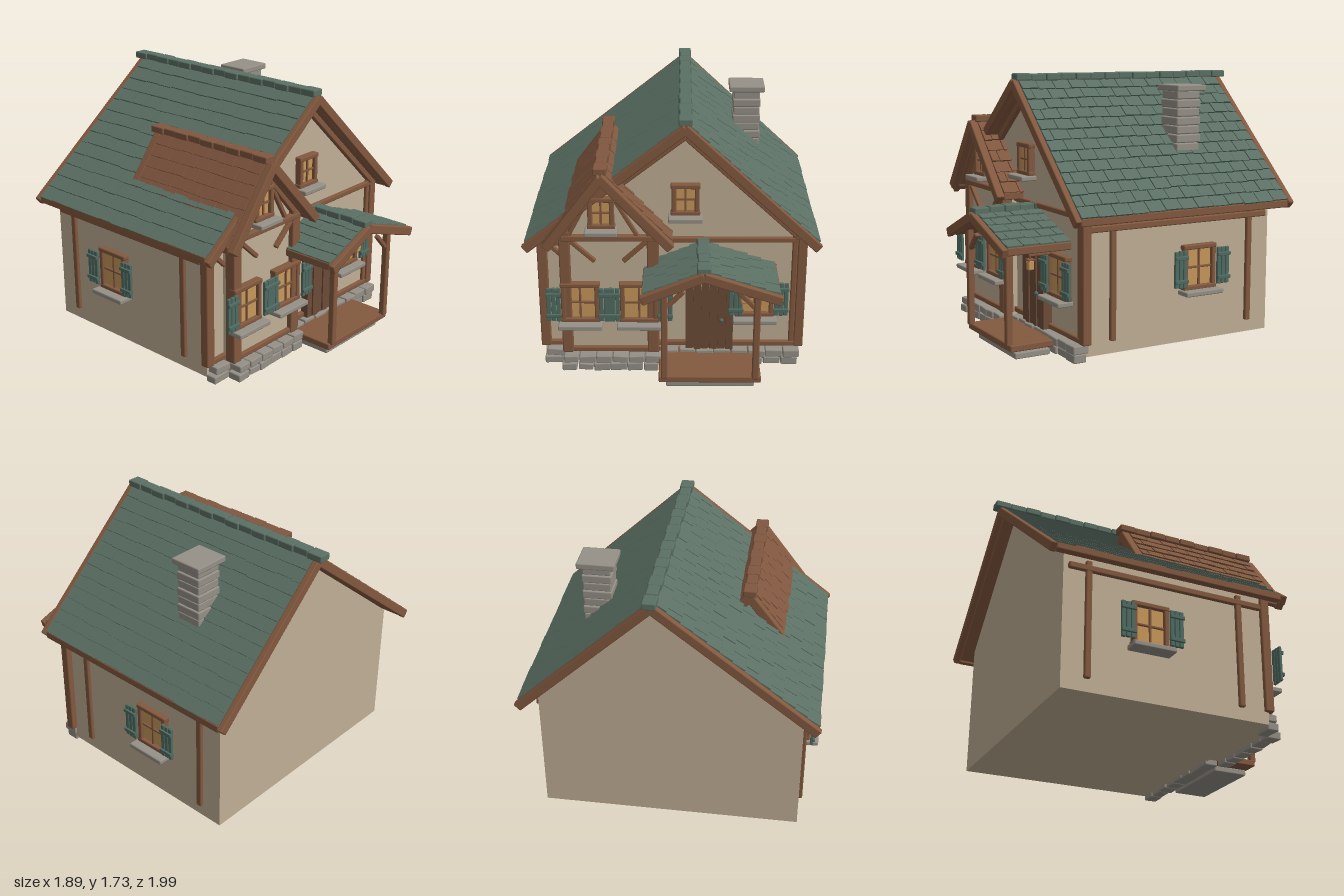
import * as THREE from 'three';
import { mergeGeometries } from 'three/addons/utils/BufferGeometryUtils.js';
import { RoundedBoxGeometry } from 'three/addons/geometries/RoundedBoxGeometry.js';

const mat = (name, color) => Object.assign(new THREE.MeshStandardMaterial({ color }), { name });
const M = {
  wall: mat('plaster', 0xc0af95), wood: mat('timber', 0x83593f), tile: mat('green roof tile', 0x5b7064),
  brownTile: mat('brown roof tile', 0x80573f), stone: mat('stone', 0x959087), glass: mat('lit glass', 0xc8985a),
  door: mat('dark door wood', 0x6d4c38), shutter: mat('shutter green', 0x506c62),
};

let seed = 7;
const rand = (a) => { seed = (seed * 16807) % 2147483647; return (seed / 2147483647 - 0.5) * 2 * a; };

// Softly bevelled box centred at x, y, z
function box(w, h, d, x = 0, y = 0, z = 0, rz = 0) {
  const r = Math.min(0.008, 0.25 * Math.min(w, h, d));
  return new RoundedBoxGeometry(w, h, d, 1, r).rotateZ(rz).translate(x, y, z);
}
// Box given by its limits
const span = (x0, x1, y0, y1, z0, z1) =>
  box(x1 - x0, y1 - y0, z1 - z0, (x0 + x1) / 2, (y0 + y1) / 2, (z0 + z1) / 2);
// Timber running between two points in a plane of constant z
const beam = (x0, y0, x1, y1, z, t, d) =>
  box(Math.hypot(x1 - x0, y1 - y0), t, d, (x0 + x1) / 2, (y0 + y1) / 2, z, Math.atan2(y1 - y0, x1 - x0));

function add(parent, name, material, geos) {
  const m = new THREE.Mesh(mergeGeometries(geos.map((g) => (g.index ? g.toNonIndexed() : g))), material);
  m.name = name;
  parent.add(m);
  return m;
}

function prism(points, z0, z1) {
  const s = new THREE.Shape(points.map((p) => new THREE.Vector2(...p)));
  return new THREE.ExtrudeGeometry(s, { depth: z1 - z0, bevelEnabled: false }).translate(0, 0, z0);
}

// Gabled roof: boarded slopes, overlapping tiles, bargeboards, eave boards and ridge caps
function roof(parent, name, ridge, eaves, z0, z1, material, rows, barge, fasciaY, caps) {
  const g = new THREE.Group();
  g.name = name;
  const tiles = [], boards = [], ridgeCaps = [];
  for (const [ex, ey] of eaves) {
    const dx = ex - ridge[0], dy = ey - ridge[1], len = Math.hypot(dx, dy), side = Math.sign(dx);
    const u = new THREE.Vector3(dx / len, dy / len, 0);
    const n = new THREE.Vector3(-u.y * side, u.x * side, 0);
    const basis = new THREE.Matrix4().makeBasis(u, n, new THREE.Vector3(0, 0, side)).setPosition(ridge[0], ridge[1], 0);
    const place = (geo, t, h, z, tilt = 0) => geo.rotateZ(tilt).translate(t, h, z * side).applyMatrix4(basis);
    boards.push(place(box(len, 0.04, z1 - z0), len / 2, -0.02, (z0 + z1) / 2));
    for (const z of [z0 - barge / 2, z1 + barge / 2])
      boards.push(place(box(len + 0.03, 0.06, barge), len / 2 + 0.015, -0.01, z));
    boards.push(span(ex - 0.02, ex + 0.02, fasciaY, fasciaY + 0.05, z0, z1));
    const step = len / rows, cols = Math.round((z1 - z0) / 0.118), cw = (z1 - z0) / cols;
    for (let r = 0; r < rows; r++) {
      for (let c = 0; c <= cols; c++) {
        const a = Math.max(z0, z0 + (c - (r % 2) * 0.5) * cw), b = Math.min(z1, z0 + (c + 1 - (r % 2) * 0.5) * cw);
        if (b - a < 0.01) continue;
        const tile = new THREE.BoxGeometry(step * 1.3, 0.016, b - a - 0.005);
        tiles.push(place(tile, (r + 0.42) * step + rand(0.004), 0.013 + rand(0.002), (a + b) / 2, 0.1));
      }
    }
  }
  const c0 = z0 - 0.07, c1 = z1 + 0.02, cs = (c1 - c0) / caps;
  for (let i = 0; i < caps; i++)
    ridgeCaps.push(box(i % 2 ? 0.072 : 0.085, 0.045, cs * 0.98, ridge[0], ridge[1] + 0.025 + rand(0.003), c0 + (i + 0.5) * cs));
  add(g, name + 'Boards', M.wood, boards);
  add(g, name + 'Tiles', material, tiles);
  add(g, name + 'RidgeCaps', material, ridgeCaps);
  parent.add(g);
}

// Window facing +z, centred on its frame, with a stone sill and shutters at the given offsets
function windowUnit(parent, name, x, y, z, w, h, shutters = [], ry = 0) {
  const g = new THREE.Group();
  g.name = name;
  const t = 0.03, wood = [];
  for (const s of [-1, 1]) {
    wood.push(box(t, h, 0.05, s * (w - t) / 2, 0, 0.015));
    wood.push(box(w + 0.01, t, 0.054, 0, s * (h - t) / 2, 0.015));
  }
  wood.push(box(0.014, h - t, 0.024, 0, 0, 0.015), box(w - t, 0.014, 0.024, 0, 0, 0.015));
  add(g, 'windowFrame', M.wood, wood);
  add(g, 'windowGlass', M.glass, [new THREE.BoxGeometry(w - t, h - t, 0.008).translate(0, 0, 0.012)]);
  add(g, 'windowSill', M.stone, [box(w + 0.04, 0.032, 0.11, 0, -h / 2 - 0.012, 0.045)]);
  const planks = [];
  for (const sx of shutters) {
    for (const i of [-1, 0, 1]) planks.push(box(0.028, 0.235 + rand(0.005), 0.02, sx + i * 0.031, 0, 0.055));
    for (const s of [-1, 1]) planks.push(box(0.098, 0.024, 0.016, sx, s * 0.075, 0.069));
  }
  if (planks.length) add(g, 'shutters', M.shutter, planks);
  g.position.set(x, y, z);
  g.rotation.y = ry;
  parent.add(g);
}

export function createModel() {
  const house = new THREE.Group();
  house.name = 'cottage';

  // Plaster volumes
  add(house, 'mainWalls', M.wall, [prism([[-0.84, 0.05], [0.82, 0.05], [0.82, 0.935], [0.08, 1.635], [-0.84, 0.9]], -0.85, 0.52)]);
  add(house, 'frontBayWalls', M.wall, [prism([[-0.69, 0.05], [-0.11, 0.05], [-0.11, 0.97], [-0.44, 1.34], [-0.69, 1.0]], -0.25, 0.6)]);

  // Roofs
  roof(house, 'mainRoof', [0.08, 1.685], [[-0.915, 0.9], [0.91, 0.91]], -0.93, 0.6, M.tile, 13, 0.04, 0.87, 15);
  roof(house, 'bayRoof', [-0.44, 1.395], [[-0.78, 0.945], [-0.02, 0.945]], -0.24, 0.66, M.brownTile, 7, 0.055, 0.91, 9);
  roof(house, 'porchRoof', [0.195, 0.87], [[-0.165, 0.72], [0.645, 0.72]], 0.52, 0.95, M.tile, 5, 0.04, 0.685, 5);

  // Timber framing on the front
  add(house, 'frontTimbers', M.wood, [
    span(-0.865, -0.8, 0.13, 0.9, 0.49, 0.55), span(0.8, 0.86, 0.13, 0.93, 0.49, 0.55),
    span(0.765, 0.8, 0.13, 0.93, 0.5, 0.54),
    span(-0.84, 0.82, 0.13, 0.165, 0.5, 0.545), span(-0.1, 0.82, 0.885, 0.92, 0.5, 0.545),
    span(-0.84, -0.69, 0.86, 0.895, 0.5, 0.545), beam(-0.79, 0.87, -0.69, 0.77, 0.53, 0.03, 0.03),
    beam(0.08, 1.6, 0.81, 0.92, 0.535, 0.04, 0.04), beam(0.08, 1.6, -0.83, 0.89, 0.535, 0.04, 0.04),
  ]);
  add(house, 'bayTimbers', M.wood, [
    span(-0.715, -0.645, 0.13, 1.0, 0.56, 0.635), span(-0.16, -0.085, 0.13, 0.99, 0.56, 0.635),
    span(-0.7, -0.1, 0.13, 0.165, 0.58, 0.625), span(-0.7, -0.1, 0.935, 0.972, 0.58, 0.64),
    beam(-0.64, 0.93, -0.49, 0.79, 0.615, 0.03, 0.03), beam(-0.16, 0.93, -0.31, 0.79, 0.615, 0.03, 0.03),
    beam(-0.44, 1.33, -0.68, 1.0, 0.615, 0.04, 0.04), beam(-0.44, 1.33, -0.13, 0.98, 0.615, 0.04, 0.04),
    beam(-0.53, 1.2, -0.65, 0.97, 0.615, 0.026, 0.03), beam(-0.35, 1.2, -0.22, 0.97, 0.615, 0.026, 0.03),
  ]);

  // Side timbers and windows
  for (const s of [-1, 1]) {
    const x = s < 0 ? -0.84 : 0.82;
    add(house, 'sideTimbers', M.wood, [
      box(0.05, 0.04, 1.31, x, 0.83, -0.165),
      ...[0.328, -0.69].map((z) => box(0.045, 0.75, 0.04, x, 0.505, z)),
    ]);
    windowUnit(house, 'sideWindow', x, 0.53, -0.295, 0.24, 0.29, [-0.16, 0.16], s * Math.PI / 2);
  }

  // Front windows
  windowUnit(house, 'bayWindow', -0.59, 0.5, 0.605, 0.245, 0.28, [-0.168, 0.168]);
  windowUnit(house, 'bayWindow', -0.212, 0.5, 0.605, 0.245, 0.28, [-0.168, 0.168]);
  windowUnit(house, 'porchWindow', 0.535, 0.5, 0.525, 0.245, 0.28, [-0.125, 0.168]);
  windowUnit(house, 'bayAtticWindow', -0.443, 1.127, 0.605, 0.165, 0.21);
  windowUnit(house, 'atticWindow', 0.082, 1.185, 0.525, 0.175, 0.21);

  // Arched plank door
  const archTop = (x) => 0.56 + 0.095 * Math.sqrt(Math.max(0, 1 - ((x - 0.243) / 0.16) ** 2));
  const planks = [];
  for (let i = 0; i < 6; i++) {
    const a = 0.086 + i * 0.0525, b = a + 0.047, pts = [[a, 0.11], [b, 0.11]];
    for (let k = 0; k <= 4; k++) pts.push([b + (a - b) * k / 4, archTop(b + (a - b) * k / 4)]);
    planks.push(prism(pts, 0.52, 0.575 + (i % 2) * 0.006));
  }
  planks.push(span(0.09, 0.395, 0.11, 0.56, 0.515, 0.56));
  add(house, 'door', M.door, planks);
  add(house, 'doorHandle', M.shutter, [new THREE.SphereGeometry(0.014, 10, 8).translate(0.318, 0.35, 0.592)]);

  // Porch
  const porch = [span(-0.085, 0.565, 0.065, 0.108, 0.5, 0.89)];
  for (const [x, s] of [[-0.048, 1], [0.527, -1]]) {
    porch.push(span(x - 0.021, x + 0.021, 0.1, 0.76, 0.865, 0.907));
    porch.push(beam(x + s * 0.015, 0.61, x + s * 0.12, 0.72, 0.886, 0.03, 0.03));
  }
  add(house, 'porchFrame', M.wood, porch);
  add(house, 'porchStep', M.stone, [span(-0.04, 0.525, 0.005, 0.045, 0.6, 0.84)]);

  // Lantern beside the door
  add(house, 'lanternArm', M.wood, [span(0.447, 0.463, 0.625, 0.64, 0.52, 0.71), span(0.43, 0.48, 0.6, 0.61, 0.675, 0.725), span(0.45, 0.46, 0.6, 0.635, 0.695, 0.705)]);
  add(house, 'lantern', M.glass, [span(0.434, 0.476, 0.54, 0.602, 0.68, 0.72)]);

  // Foundation stones along the front
  const stones = [];
  for (const [x0, x1, z] of [[-0.84, -0.7, 0.55], [-0.72, -0.08, 0.635], [-0.08, 0.83, 0.55]]) {
    for (let row = 0; row < 2; row++) {
      const count = Math.max(1, Math.round((x1 - x0) / 0.115)), w = (x1 - x0) / count;
      for (let i = 0; i < count; i++)
        stones.push(box(w * 0.95 + rand(0.008), 0.05 + rand(0.006), 0.09 + rand(0.015), x0 + (i + 0.5) * w + (row ? 0.008 : -0.004), 0.046 + row * 0.056, z, rand(0.08)));
    }
  }
  add(house, 'foundationStones', M.stone, stones);

  // Chimney of stacked stone courses
  const courses = [];
  for (let i = 0; i < 9; i++) {
    const w = 0.178 + (i % 2) * 0.01;
    courses.push(box(w, 0.053, w - 0.005, 0.5, 1.595 - i * 0.056, -0.375));
  }
  courses.push(span(0.43, 0.57, 1.12, 1.62, -0.44, -0.31), span(0.38, 0.62, 1.62, 1.66, -0.49, -0.27));
  add(house, 'chimney', M.stone, courses);

  return house;
}
